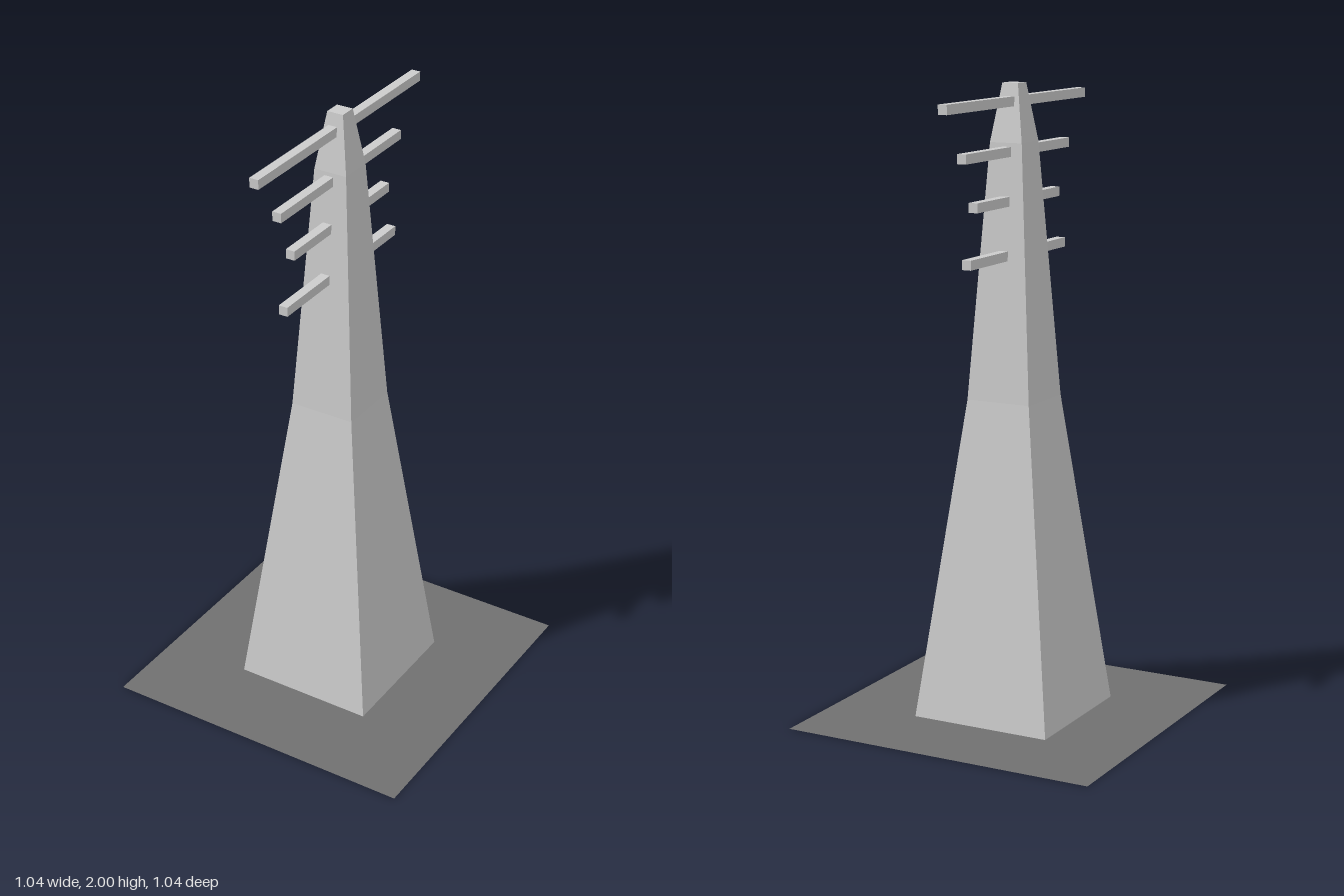
import * as THREE from 'three';

export function createModel() {
  const model = new THREE.Group();
  const grey = new THREE.MeshStandardMaterial({ color: 0xcccccc, flatShading: true });
  const dark = new THREE.MeshStandardMaterial({ color: 0x707070, side: THREE.DoubleSide });

  const add = (name, geometry, material) => {
    const mesh = new THREE.Mesh(geometry, material);
    mesh.name = name;
    model.add(mesh);
    return mesh;
  };

  // Flat square ground plate
  add('groundPlate', new THREE.PlaneGeometry(1.043, 1.043).rotateX(-Math.PI / 2), dark);

  // Square tapering mast: half width at each height, closed at the top
  const profile = [[0.233, 0], [0.108, 1.02], [0.055, 1.82], [0.027, 2], [0, 2]]
    .map(([half, y]) => new THREE.Vector2(half * Math.SQRT2, y));
  add('mast', new THREE.LatheGeometry(profile, 4, Math.PI / 4), grey);

  // Crossarms running front to back: height and half length
  const arms = [[1.945, 0.448], [1.793, 0.336], [1.642, 0.268], [1.475, 0.31]];
  arms.forEach(([y, half], i) => {
    add(`crossarm${i + 1}`, new THREE.BoxGeometry(0.03, 0.03, half * 2), grey)
      .position.set(-0.004, y, 0);
  });

  return model;
}
